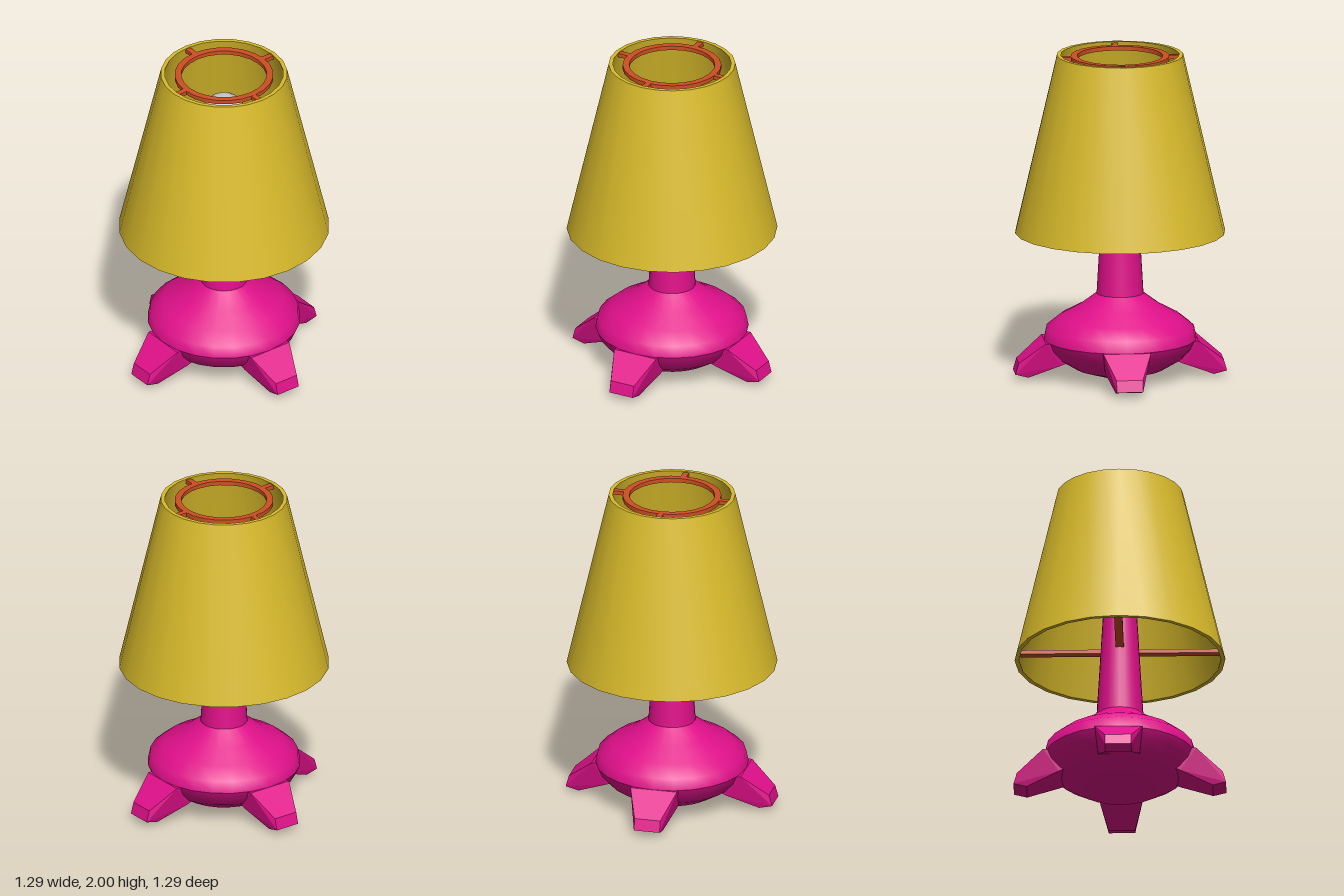
import * as THREE from 'three';
import { toCreasedNormals } from 'three/addons/utils/BufferGeometryUtils.js';
import { ConvexGeometry } from 'three/addons/geometries/ConvexGeometry.js';

const SEGMENTS = 24;
const material = (color) => new THREE.MeshStandardMaterial({ color });
const pink = material(0xe0108a);
const yellow = material(0xd9bb2b);
const orange = material(0xcc4f22);
const grey = material(0xcccccc);

// Revolve [radius, height] pairs, listed bottom to top on the outside
const lathe = (points) =>
  new THREE.LatheGeometry(points.map(([r, y]) => new THREE.Vector2(r, y)), SEGMENTS);

export function createModel() {
  const model = new THREE.Group();
  const add = (name, geometry, mat, angle = 0) => {
    const mesh = new THREE.Mesh(geometry, mat);
    mesh.name = name;
    mesh.rotation.y = angle;
    model.add(mesh);
    return mesh;
  };

  // Base: shallow bowl below, domed shoulder above
  add('baseBowl', lathe([[0, 0], [0.14, 0.015], [0.27, 0.055], [0.386, 0.125], [0.44, 0.185], [0.465, 0.24]]), pink);
  add('baseDome', lathe([[0.465, 0.24], [0.45, 0.31], [0.37, 0.375], [0.25, 0.44], [0.143, 0.52]]), pink);

  // Neck carrying the bulb
  add('neck', new THREE.CylinderGeometry(0.08, 0.143, 1.08, SEGMENTS).translate(0, 1.06, 0), pink);
  add('bulb', new THREE.SphereGeometry(0.14, 12, 8).translate(0, 1.7, 0), grey);

  // Foot: [distance from axis, height, half width], mirrored across its centre plane
  const footOutline = [
    [0.25, 0.24, 0.145], [0.465, 0.24, 0.145], [0.625, 0.11, 0.08],
    [0.645, 0.04, 0.08], [0.565, 0.02, 0.08], [0.37, 0.1, 0.125], [0.25, 0.15, 0.13],
  ];
  const foot = new ConvexGeometry(footOutline.flatMap(([r, y, w]) =>
    [new THREE.Vector3(r, y, w), new THREE.Vector3(r, y, -w)]));

  // Struts from neck to the shade's lower edge, and from the upper ring to its top edge
  const lowerStrut = new THREE.BoxGeometry(0.52, 0.025, 0.05).translate(0.355, 0.945, 0);
  const upperStrut = new THREE.BoxGeometry(0.08, 0.025, 0.036).translate(0.33, 1.98, 0);

  for (let i = 0; i < 4; i++) {
    const angle = (i * Math.PI) / 2;
    add('foot', foot, pink, angle);
    add('lowerStrut', lowerStrut, orange, angle);
    add('upperStrut', upperStrut, orange, angle);
  }

  // Upper support ring
  const ring = lathe([[0.3, 1.967], [0.3, 1.993], [0.26, 1.993], [0.26, 1.967], [0.3, 1.967]]);
  add('upperRing', toCreasedNormals(ring, 0.6), orange);

  // Tapered hollow shade with a thin wall
  const shade = lathe([[0.64, 0.9], [0.385, 2], [0.36, 2], [0.613, 0.9], [0.64, 0.9]]);
  add('shade', toCreasedNormals(shade, 0.6), yellow);

  return model;
}
